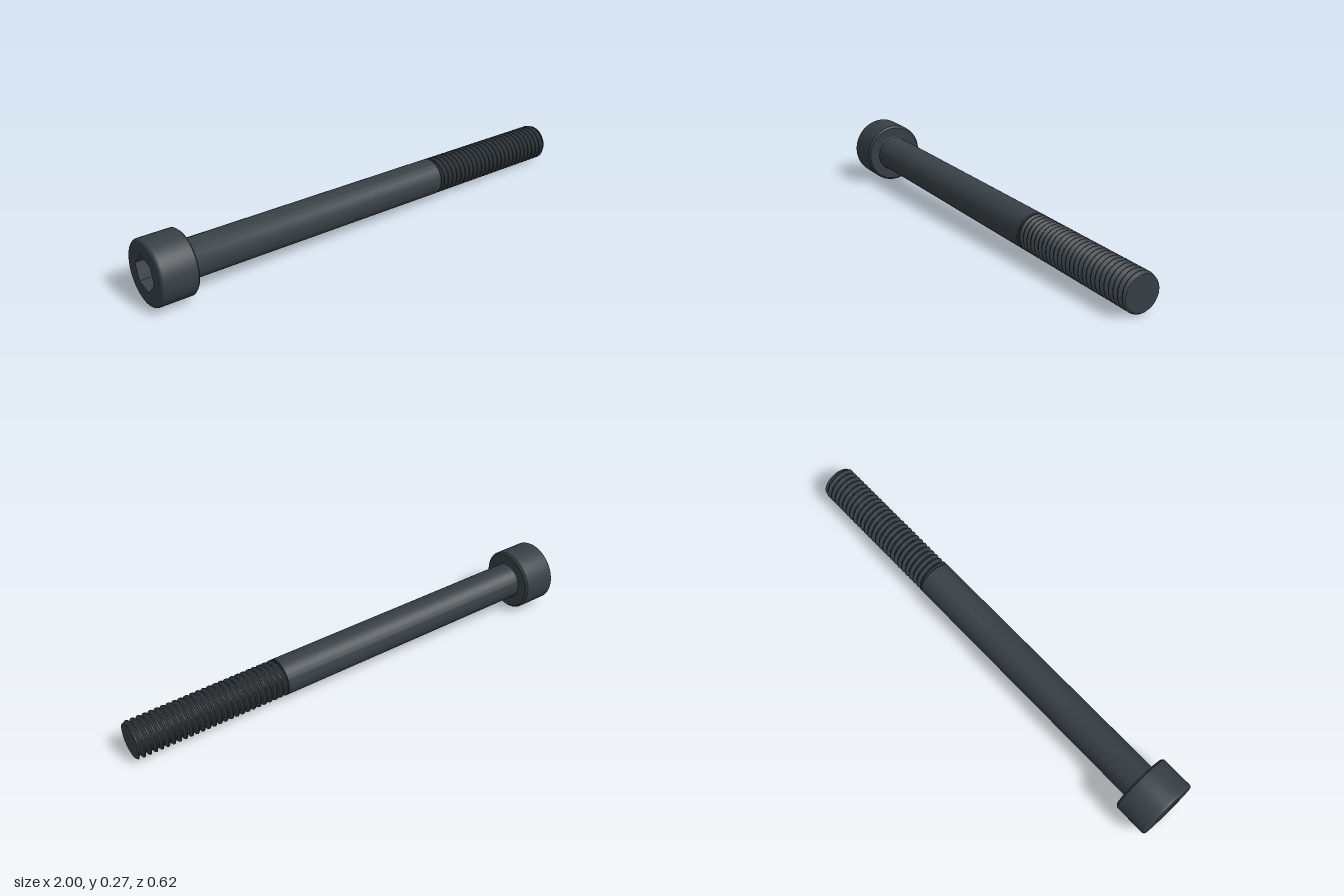
import * as THREE from 'three';
import { toCreasedNormals } from 'three/addons/utils/BufferGeometryUtils.js';

// Socket-head bolt, built along +Y from the head's outer face (0) to the tip
const LENGTH = 2.0, HEAD_H = 0.154, HEAD_R = 0.131, SHANK_R = 0.077;
const PITCH = 0.0246, ROOT_R = 0.063, TIP_R = 0.071, THREAD_START = 1.36;
const HEX_R = 0.071, HEX_DEPTH = 0.077;

const lathe = (pts, segments) =>
  new THREE.LatheGeometry(pts.map(([r, y]) => new THREE.Vector2(r, y)), segments);

// Right-handed helical thread: a ridged lathe sheared by one pitch per turn
function threadGeometry() {
  const length = LENGTH - THREAD_START, pts = [], segments = 48;
  for (let i = -2; i < Math.ceil(length / PITCH) + 1; i++) {
    pts.push([ROOT_R, i * PITCH], [ROOT_R, (i + 0.2) * PITCH],
      [SHANK_R, (i + 0.52) * PITCH], [SHANK_R, (i + 0.68) * PITCH]);
  }
  const geo = lathe(pts, segments), pos = geo.attributes.position;
  for (let k = 0; k < pos.count; k++) {
    const turn = Math.floor(k / pts.length) / segments;
    const y = THREE.MathUtils.clamp(pos.getY(k) + turn * PITCH, 0, length);
    const r = Math.hypot(pos.getX(k), pos.getZ(k));
    const s = Math.min(r, TIP_R + (length - y)) / r; // chamfer towards the tip
    pos.setXYZ(k, pos.getX(k) * s, y + THREAD_START, pos.getZ(k) * s);
  }
  return toCreasedNormals(geo, 0.5);
}

// Head's outer face, with a hexagonal opening
function headFaceGeometry(radius) {
  const shape = new THREE.Shape().absarc(0, 0, radius, 0, Math.PI * 2);
  const hex = [];
  for (let i = 0; i < 6; i++) {
    const a = Math.PI / 2 + i * Math.PI / 3;
    hex.push(new THREE.Vector2(HEX_R * Math.cos(a), HEX_R * Math.sin(a)));
  }
  shape.holes.push(new THREE.Path(hex));
  return new THREE.ShapeGeometry(shape, 32).rotateX(Math.PI / 2);
}

export function createModel() {
  const steel = new THREE.MeshStandardMaterial({ color: 0x384046, side: THREE.DoubleSide });
  steel.name = 'blackened steel';
  const model = new THREE.Group();
  model.name = 'socketHeadBolt';
  const bolt = new THREE.Group();
  bolt.name = 'bolt';
  model.add(bolt);
  const add = (name, geo) => {
    const mesh = new THREE.Mesh(geo, steel);
    mesh.name = name;
    bolt.add(mesh);
  };

  // Head wall with a rounded outer rim and a chamfered underside
  const round = 0.012, head = [];
  for (let i = 0; i <= 5; i++) {
    const a = (i / 5) * Math.PI / 2;
    head.push([HEAD_R - round + round * Math.sin(a), round - round * Math.cos(a)]);
  }
  head.push([HEAD_R, HEAD_H - 0.008], [HEAD_R - 0.008, HEAD_H], [SHANK_R, HEAD_H]);
  add('head', toCreasedNormals(lathe(head, 64), 0.6));
  add('headFace', headFaceGeometry(HEAD_R - round));

  // Hexagonal socket
  const walls = new THREE.CylinderGeometry(HEX_R, HEX_R, HEX_DEPTH, 6, 1, true);
  walls.translate(0, HEX_DEPTH / 2, 0);
  add('socketWalls', toCreasedNormals(walls, 0.5));
  const floor = new THREE.CircleGeometry(HEX_R, 6, Math.PI / 2).rotateX(Math.PI / 2);
  add('socketFloor', floor.translate(0, HEX_DEPTH, 0));

  // Plain shank, filleted under the head and bevelled where the thread starts
  add('shank', toCreasedNormals(lathe([
    [SHANK_R + 0.005, HEAD_H], [SHANK_R + 0.0015, HEAD_H + 0.002], [SHANK_R, HEAD_H + 0.006],
    [SHANK_R, THREAD_START - 0.004], [ROOT_R, THREAD_START + 0.008],
  ], 64), 0.5));

  add('thread', threadGeometry());
  const tip = new THREE.CircleGeometry(TIP_R, 48).rotateX(-Math.PI / 2);
  add('tipFace', tip.translate(0, LENGTH + 0.0005, 0));

  // Lay the bolt down, resting on its head rim and tip
  const axis = new THREE.Vector3(0.9776, -0.029, 0.2085).normalize();
  bolt.quaternion.setFromUnitVectors(new THREE.Vector3(0, 1, 0), axis);
  bolt.position.set(-0.973, 0.137, -0.181);
  return model;
}
